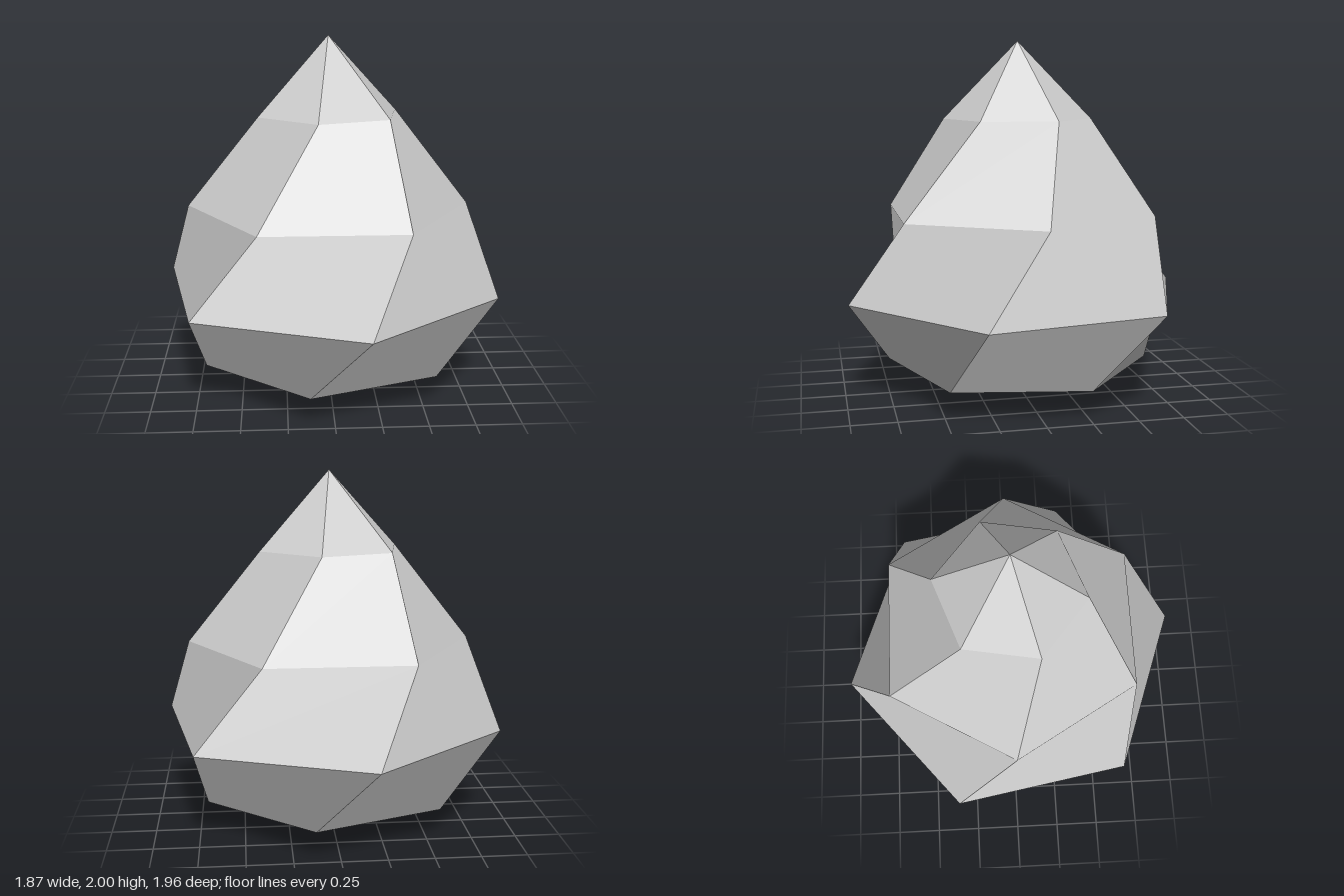
import * as THREE from 'three';

const SIDES = 6;

// hexagonal rings from bottom to top: [height, radius, turn in degrees]
const RINGS = [
  [0.165, 0.75, 40],
  [0.565, 0.996, 20],
  [1.04, 0.8, 0],
  [1.565, 0.42, -20],
];

function ringPoint([y, r, turn], i) {
  const a = THREE.MathUtils.degToRad(turn + (i * 360) / SIDES);
  return new THREE.Vector3(r * Math.cos(a), y, r * Math.sin(a));
}

// collects triangles and gives every facet a single normal
function facetBuilder() {
  const positions = [], normals = [];
  const add = (points, n) => points.forEach((p) => {
    positions.push(p.x, p.y, p.z);
    normals.push(n.x, n.y, n.z);
  });
  const normalOf = (u, v) => new THREE.Vector3().crossVectors(u, v).normalize();
  return {
    triangle(a, b, c) {
      add([a, b, c], normalOf(b.clone().sub(a), c.clone().sub(a)));
    },
    // twisted quad, creased inward along a-c, shaded as one facet
    quad(a, b, c, d) {
      add([a, b, c, a, c, d], normalOf(c.clone().sub(a), d.clone().sub(b)));
    },
    build() {
      const g = new THREE.BufferGeometry();
      g.setAttribute('position', new THREE.Float32BufferAttribute(positions, 3));
      g.setAttribute('normal', new THREE.Float32BufferAttribute(normals, 3));
      return g;
    },
  };
}

export function createModel() {
  const group = new THREE.Group();
  group.name = 'twistedGem';
  const stone = new THREE.MeshStandardMaterial({ color: 0xcccccc });
  stone.name = 'pale grey stone';

  const bottom = new THREE.Vector3(0, 0, 0);
  const top = new THREE.Vector3(0, 2, 0);
  const first = RINGS[0], last = RINGS[RINGS.length - 1];
  const facets = facetBuilder();

  for (let i = 0; i < SIDES; i++) {
    // shallow point underneath
    facets.triangle(bottom, ringPoint(first, i), ringPoint(first, i + 1));
    // twisted bands
    for (let k = 0; k < RINGS.length - 1; k++) {
      const low = RINGS[k], high = RINGS[k + 1];
      facets.quad(ringPoint(low, i + 1), ringPoint(low, i), ringPoint(high, i), ringPoint(high, i + 1));
    }
    // pointed tip
    facets.triangle(ringPoint(last, i + 1), ringPoint(last, i), top);
  }

  const gem = new THREE.Mesh(facets.build(), stone);
  gem.name = 'gemBody';
  group.add(gem);
  return group;
}
